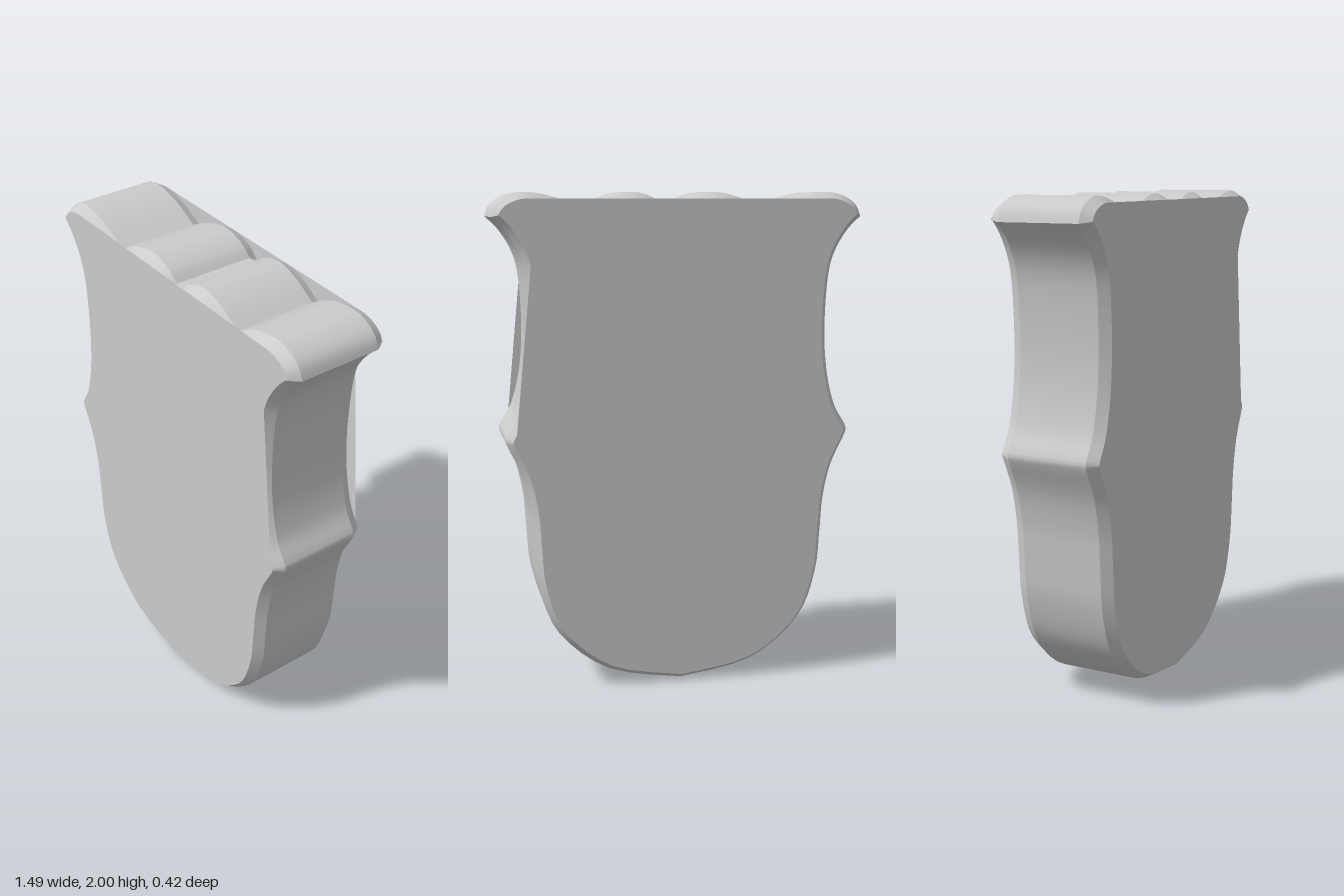
import * as THREE from 'three';
import { toCreasedNormals } from 'three/addons/utils/BufferGeometryUtils.js';

const HALF = 0.21;      // half thickness
const BEVEL_Z = 0.042;  // bevel depth
const INSET = 0.025;    // bevel width

const spline = (pts, n) =>
  new THREE.SplineCurve(pts.map(([x, y]) => new THREE.Vector2(x, y))).getPoints(n);

// Closed outline, counter-clockwise from the upper left corner
function makeOutline() {
  const upper = spline([[-0.745, 1.905], [-0.69, 1.85], [-0.637, 1.76], [-0.612, 1.65],
    [-0.603, 1.45], [-0.616, 1.28], [-0.65, 1.14], [-0.695, 1.06], [-0.705, 1.03], [-0.695, 1.0]], 40);
  const lower = spline([[-0.695, 1.0], [-0.64, 0.88], [-0.61, 0.74], [-0.6, 0.6],
    [-0.582, 0.42], [-0.505, 0.225], [-0.3, 0.06], [0, 0]], 28);
  const left = [...upper, ...lower.slice(1)];
  const right = left.slice(0, -1).reverse().map(p => new THREE.Vector2(-p.x, p.y));
  // Four finger lobes across the top, right to left
  const lobes = [
    [[0.745, 1.905], [0.725, 1.95], [0.675, 1.985], [0.6, 2], [0.48, 1.975], [0.385, 1.92]],
    [[0.385, 1.92], [0.29, 1.975], [0.19, 2], [0.1, 1.975], [0.045, 1.935]],
    [[0.01, 1.935], [-0.04, 1.975], [-0.14, 2], [-0.25, 1.975], [-0.36, 1.92]],
    [[-0.36, 1.92], [-0.48, 1.975], [-0.6, 2], [-0.675, 1.985], [-0.725, 1.95], [-0.745, 1.905]],
  ].flatMap(l => spline(l, 14));
  return [...left, ...right, ...lobes].filter((p, i, a) =>
    p.distanceTo(a[(i + 1) % a.length]) > 1e-4);
}

// Moves every outline point inward along its corner normal
function insetOutline(pts, d) {
  const n = pts.length;
  return pts.map((p, i) => {
    const a = p.clone().sub(pts[(i + n - 1) % n]).normalize();
    const b = pts[(i + 1) % n].clone().sub(p).normalize();
    const t = a.add(b).normalize();
    return new THREE.Vector2(p.x - t.y * d, p.y + t.x * d);
  });
}

// Wall with a bevel at both ends, lofted through four rings
function wallGeometry(outer, inner) {
  const rings = [[inner, -HALF], [outer, -HALF + BEVEL_Z], [outer, HALF - BEVEL_Z], [inner, HALF]];
  const n = outer.length, pos = [], idx = [];
  for (const [ring, z] of rings) for (const p of ring) pos.push(p.x, p.y, z);
  for (let r = 0; r < 3; r++) {
    for (let i = 0; i < n; i++) {
      const a = r * n + i, b = r * n + (i + 1) % n;
      idx.push(a, b, b + n, a, b + n, a + n);
    }
  }
  const g = new THREE.BufferGeometry();
  g.setAttribute('position', new THREE.Float32BufferAttribute(pos, 3));
  g.setIndex(idx);
  return toCreasedNormals(g, 0.45);
}

export function createModel() {
  const group = new THREE.Group();
  group.name = 'shieldPlate';
  const material = new THREE.MeshStandardMaterial({ color: 0xcccccc, side: THREE.DoubleSide });
  const outer = makeOutline();
  const inner = insetOutline(outer, INSET);

  const wall = new THREE.Mesh(wallGeometry(outer, inner), material);
  wall.name = 'bevelledWall';
  group.add(wall);

  // Flat faces run straight over the lobes and over the hollow on the +x side
  const capPoints = inner.filter((p, i) => {
    const overLobes = Math.abs(p.x) < 0.59 && p.y > 1.85;
    const overHollow = p.x > 0 && p.y > 1.07 && p.y < 1.72;
    return !overLobes && !overHollow;
  });
  const capGeometry = new THREE.ShapeGeometry(new THREE.Shape(capPoints));
  for (const side of [1, -1]) {
    const face = new THREE.Mesh(capGeometry, material);
    face.name = side > 0 ? 'frontFace' : 'backFace';
    face.position.z = side * HALF;
    if (side < 0) {
      // Reversed winding so the back face points outward
      face.geometry = capGeometry.clone();
      face.geometry.setIndex(Array.from(capGeometry.index.array).reverse());
      face.geometry.computeVertexNormals();
    }
    group.add(face);
  }
  return group;
}
